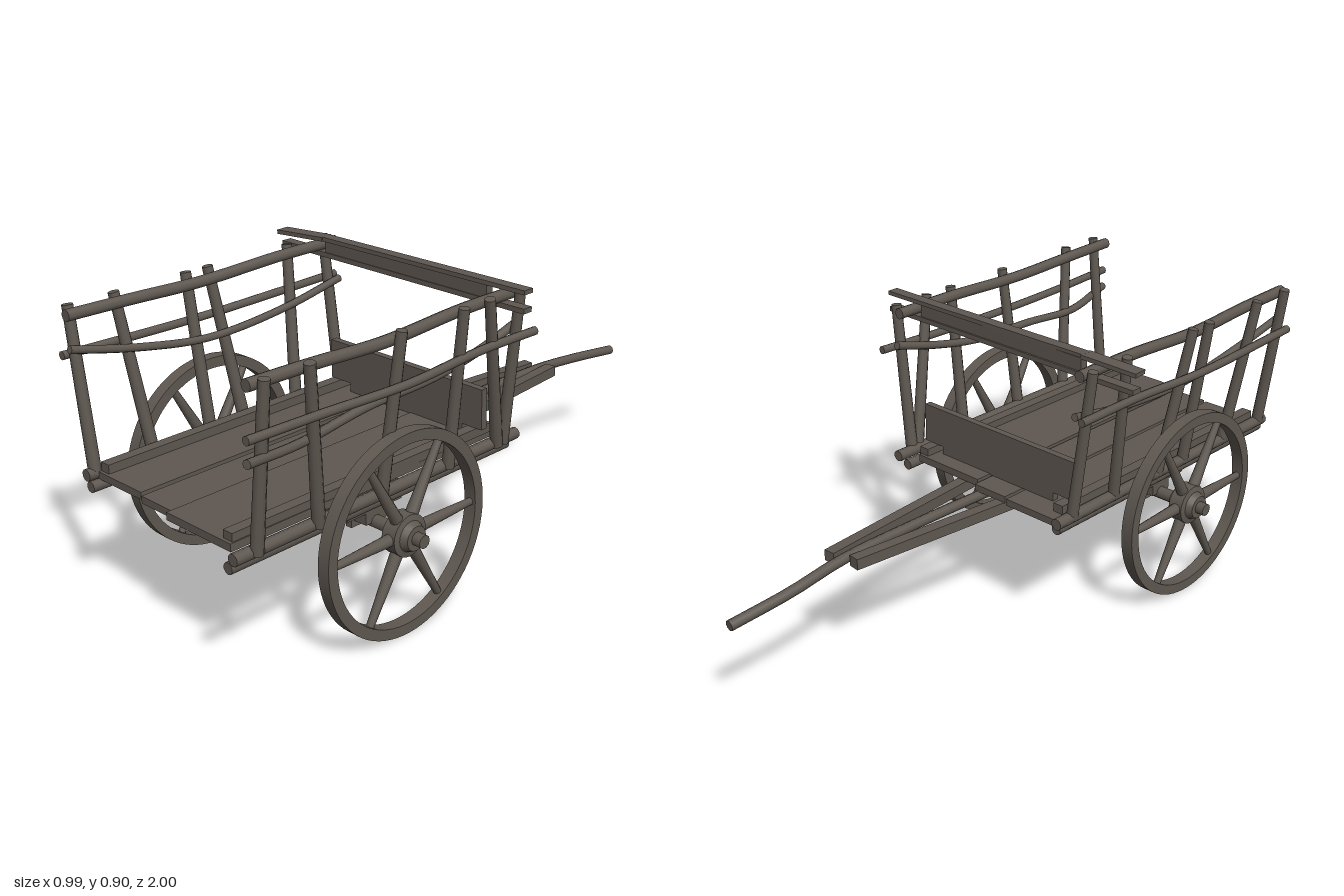
import * as THREE from 'three';
import { toCreasedNormals } from 'three/addons/utils/BufferGeometryUtils.js';

const wood = new THREE.MeshStandardMaterial({ color: 0x5f5851 });
wood.name = 'weathered wood';

const V = (p) => new THREE.Vector3(...p);

export function createModel() {
  const cart = new THREE.Group();
  cart.name = 'handcart';

  const add = (name, geo, parent = cart) => {
    const m = new THREE.Mesh(geo, wood);
    m.name = name;
    parent.add(m);
    return m;
  };

  // Box given by its minimum and maximum corners
  const box = (name, a, b, parent) => {
    const m = add(name, new THREE.BoxGeometry(b[0] - a[0], b[1] - a[1], b[2] - a[2]), parent);
    m.position.set((a[0] + b[0]) / 2, (a[1] + b[1]) / 2, (a[2] + b[2]) / 2);
    return m;
  };

  // Squared timber between two points
  const beam = (name, a, b, w, h) => {
    const m = add(name, new THREE.BoxGeometry(w, h, V(a).distanceTo(V(b))));
    m.position.copy(V(a).lerp(V(b), 0.5));
    m.lookAt(V(b));
    return m;
  };

  // Round stick between two points
  const stick = (name, a, b, r, rEnd = r, parent = cart) => {
    const d = V(b).sub(V(a));
    const m = add(name, new THREE.CylinderGeometry(rEnd, r, d.length(), 10), parent);
    m.position.copy(V(a).lerp(V(b), 0.5));
    m.quaternion.setFromUnitVectors(new THREE.Vector3(0, 1, 0), d.normalize());
    return m;
  };

  // Crooked branch through several points, with closed ends
  const branch = (name, pts, r) => {
    const g = new THREE.Group();
    g.name = name;
    cart.add(g);
    const curve = new THREE.CatmullRomCurve3(pts.map(V));
    add(name + 'Wood', new THREE.TubeGeometry(curve, 24, r, 8), g);
    for (const t of [0, 1]) {
      const cap = add(name + 'End', new THREE.CircleGeometry(r, 8), g);
      cap.position.copy(curve.getPoint(t));
      cap.lookAt(cap.position.clone().addScaledVector(curve.getTangent(t), t ? 1 : -1));
    }
  };

  // Bed planks and edge battens
  box('bedPlank', [-0.31, 0.39, -0.07], [-0.105, 0.412, 0.93]);
  box('bedPlank', [-0.09, 0.388, -0.06], [0.035, 0.41, 0.94]);
  box('bedPlank', [0.043, 0.392, -0.04], [0.3, 0.415, 0.96]);
  beam('edgeBatten', [-0.275, 0.425, -0.03], [-0.278, 0.425, 0.92], 0.035, 0.028);
  beam('edgeBatten', [0.288, 0.425, -0.03], [0.278, 0.425, 0.95], 0.035, 0.028);

  // Low board closing the handle end
  box('endBoard', [-0.297, 0.44, 0.015], [0.325, 0.565, 0.037]);
  box('endBoardFoot', [-0.215, 0.412, 0.015], [0.25, 0.44, 0.037]);

  // Underframe, axle and straps
  box('bolster', [-0.28, 0.335, 0.36], [0.315, 0.39, 0.57]);
  box('axleBeam', [-0.28, 0.3, 0.42], [0.315, 0.335, 0.5]);
  stick('axle', [-0.458, 0.3, 0.46], [0.495, 0.3, 0.46], 0.02);
  for (const x of [-0.24, -0.183, 0.197, 0.257])
    box('axleStrap', [x - 0.011, 0.28, 0.41], [x + 0.011, 0.388, 0.51]);

  // Converging shafts and the crooked pull pole
  beam('shaft', [-0.012, 0.375, -0.595], [-0.14, 0.37, 0.58], 0.036, 0.034);
  beam('shaft', [0.063, 0.375, -0.62], [0.165, 0.37, 0.58], 0.036, 0.034);
  branch('pullPole', [[0.028, 0.335, -1], [0.018, 0.355, -0.8], [0.025, 0.375, -0.6],
    [0.025, 0.377, -0.3], [0.02, 0.374, 0.02], [0.02, 0.372, 0.4]], 0.016);

  // Side racks: posts are [z at foot, z at top]
  const sides = [
    { s: 1, foot: 0.365, top: 0.418, sill: [0.355, 0.335], rail: 0.385, end: 1,
      posts: [[-0.01, -0.01], [0.015, 0.12], [0.225, 0.225], [0.49, 0.465], [0.72, 0.785], [0.93, 0.93]] },
    { s: -1, foot: -0.312, top: -0.376, sill: [-0.312, -0.295], rail: -0.343, end: 0.96,
      posts: [[-0.01, -0.01], [0.18, 0.14], [0.39, 0.45], [0.52, 0.53], [0.73, 0.78], [0.93, 0.93]] },
  ];
  for (const { s, foot, top, sill, rail, end, posts } of sides) {
    stick('upperSill', [sill[0], 0.405, -0.08], [sill[0], 0.405, end], 0.018);
    stick('lowerSill', [sill[1], 0.375, -0.06], [sill[1], 0.375, end], 0.017);
    for (const [z0, z1] of posts)
      stick('rackPost', [foot, 0.4, z0], [top, 0.88, z1], 0.019, 0.016);
    branch('topRail', [[rail, 0.862, -0.03], [rail, 0.862, 0.2], [rail + 0.004 * s, 0.85, 0.5],
      [rail, 0.858, 0.75], [rail, 0.862, 0.96]], 0.018);
  }

  // Woven branches along the racks
  branch('rackBranch', [[0.425, 0.743, -0.07], [0.415, 0.74, 0.15], [0.425, 0.73, 0.45],
    [0.42, 0.737, 0.75], [0.425, 0.745, 1]], 0.013);
  branch('rackBranch', [[0.378, 0.765, -0.05], [0.378, 0.72, 0.12], [0.372, 0.69, 0.3],
    [0.372, 0.682, 0.55], [0.385, 0.662, 0.79], [0.425, 0.685, 1]], 0.013);
  branch('rackBranch', [[-0.38, 0.742, -0.06], [-0.375, 0.738, 0.2], [-0.383, 0.73, 0.5],
    [-0.378, 0.74, 0.96]], 0.013);
  branch('rackBranch', [[-0.338, 0.74, -0.04], [-0.332, 0.7, 0.2], [-0.325, 0.685, 0.5],
    [-0.33, 0.72, 0.75], [-0.338, 0.767, 0.96]], 0.012);

  // Cross bar: a board held between two slats
  box('crossBoard', [-0.302, 0.848, 0.025], [0.345, 0.89, 0.05]);
  beam('lowerSlat', [-0.495, 0.842, 0.035], [0.482, 0.842, 0.037], 0.034, 0.015);
  beam('upperSlat', [-0.487, 0.885, 0.058], [-0.3, 0.894, 0.045], 0.045, 0.013);
  beam('upperSlat', [-0.305, 0.894, 0.045], [0.482, 0.895, 0.035], 0.036, 0.013);

  // Wheels: rim, hub and six tapered spokes
  const ring = new THREE.Shape().absarc(0, 0, 0.3, 0, Math.PI * 2);
  ring.holes.push(new THREE.Path().absarc(0, 0, 0.268, 0, Math.PI * 2, true));
  const rimGeo = toCreasedNormals(
    new THREE.ExtrudeGeometry(ring, { depth: 0.04, bevelEnabled: false, curveSegments: 40 })
      .translate(0, 0, -0.02), 0.6);
  const hubProfile = [[0, -0.045], [0.035, -0.045], [0.04, -0.03], [0.062, -0.025], [0.062, 0.022],
    [0.045, 0.026], [0.036, 0.046], [0, 0.046]].map(([r, y]) => new THREE.Vector2(r, y));
  const hubGeo = toCreasedNormals(new THREE.LatheGeometry(hubProfile, 20).rotateX(Math.PI / 2), 0.5);
  for (const [x, s] of [[0.42, 1], [-0.385, -1]]) {
    const wheel = new THREE.Group();
    wheel.name = 'wheel';
    add('rim', rimGeo, wheel);
    add('hub', hubGeo, wheel);
    for (let i = 0; i < 6; i++) {
      const a = (i * Math.PI) / 3, c = Math.cos(a), d = Math.sin(a);
      stick('spoke', [c * 0.045, d * 0.045, 0], [c * 0.275, d * 0.275, 0], 0.019, 0.011, wheel);
    }
    wheel.rotation.y = (s * Math.PI) / 2;
    wheel.position.set(x, 0.3, 0.46);
    cart.add(wheel);
  }
  return cart;
}
